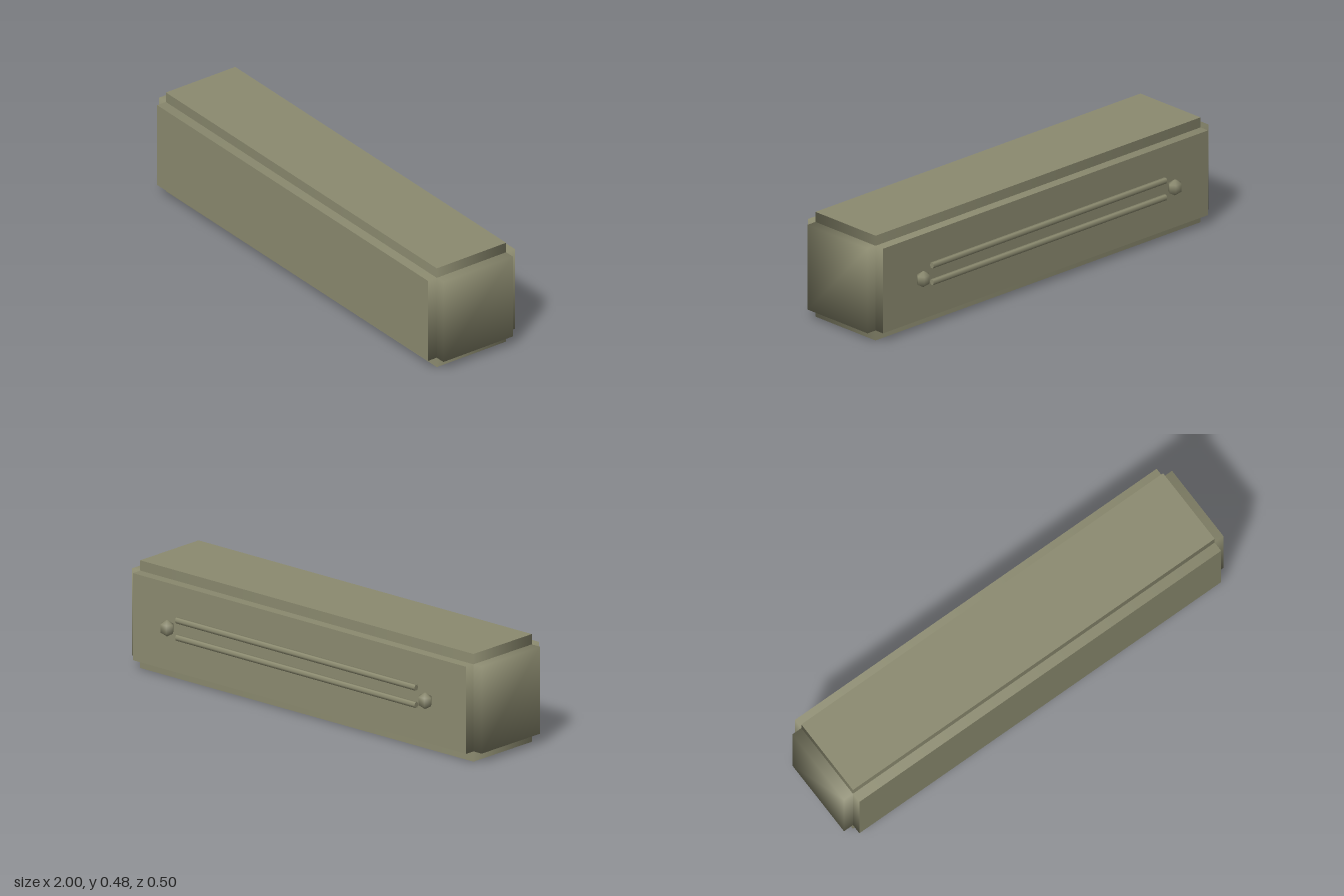
import * as THREE from 'three';
import { mergeVertices } from 'three/addons/utils/BufferGeometryUtils.js';

const olive = new THREE.MeshStandardMaterial({ color: 0x8c8b70 });
olive.name = 'olive';

function part(parent, name, geometry, x, y, z) {
  const mesh = new THREE.Mesh(geometry, olive);
  mesh.name = name;
  mesh.position.set(x, y, z);
  parent.add(mesh);
  return mesh;
}

// Four-sided prism along y: flat caps, smooth-shaded sides
function prism(width, height, depth) {
  return new THREE.CylinderGeometry(Math.SQRT1_2, Math.SQRT1_2, 1, 4)
    .rotateY(Math.PI / 4)
    .scale(width, height, depth);
}

// Box with normals shared around every corner
function smoothBox(width, height, depth) {
  const box = new THREE.BoxGeometry(width, height, depth);
  box.deleteAttribute('normal');
  box.deleteAttribute('uv');
  const merged = mergeVertices(box);
  merged.computeVertexNormals();
  return merged;
}

export function createModel() {
  const model = new THREE.Group();
  model.name = 'containerBox';
  const midY = 0.24, midZ = 0.023;

  // Three crossing blocks leave a stepped notch along every edge
  part(model, 'topBottomBlock', prism(1.906, 0.48, 0.368), 0, midY, midZ);
  part(model, 'frontBackBlock', prism(1.906, 0.46, 0.388).rotateX(Math.PI / 2), 0, midY, midZ);
  part(model, 'endBlock', smoothBox(2, 0.388, 0.368), 0, midY, midZ);

  // Twin rails on the back
  const rail = new THREE.CylinderGeometry(1, 1, 1.37, 6)
    .rotateZ(Math.PI / 2)
    .scale(1, 0.014, 0.0121);
  for (const [name, y] of [['upperRail', 0.287], ['lowerRail', 0.21]]) {
    part(model, name, rail, 0, y, -0.226);
  }

  // Knobs beside the rail ends
  const knob = new THREE.SphereGeometry(0.037, 6, 3).scale(1, 1, 0.81);
  part(model, 'leftKnob', knob, 0.738, 0.241, -0.229);
  part(model, 'rightKnob', knob, -0.738, 0.241, -0.229);

  return model;
}
